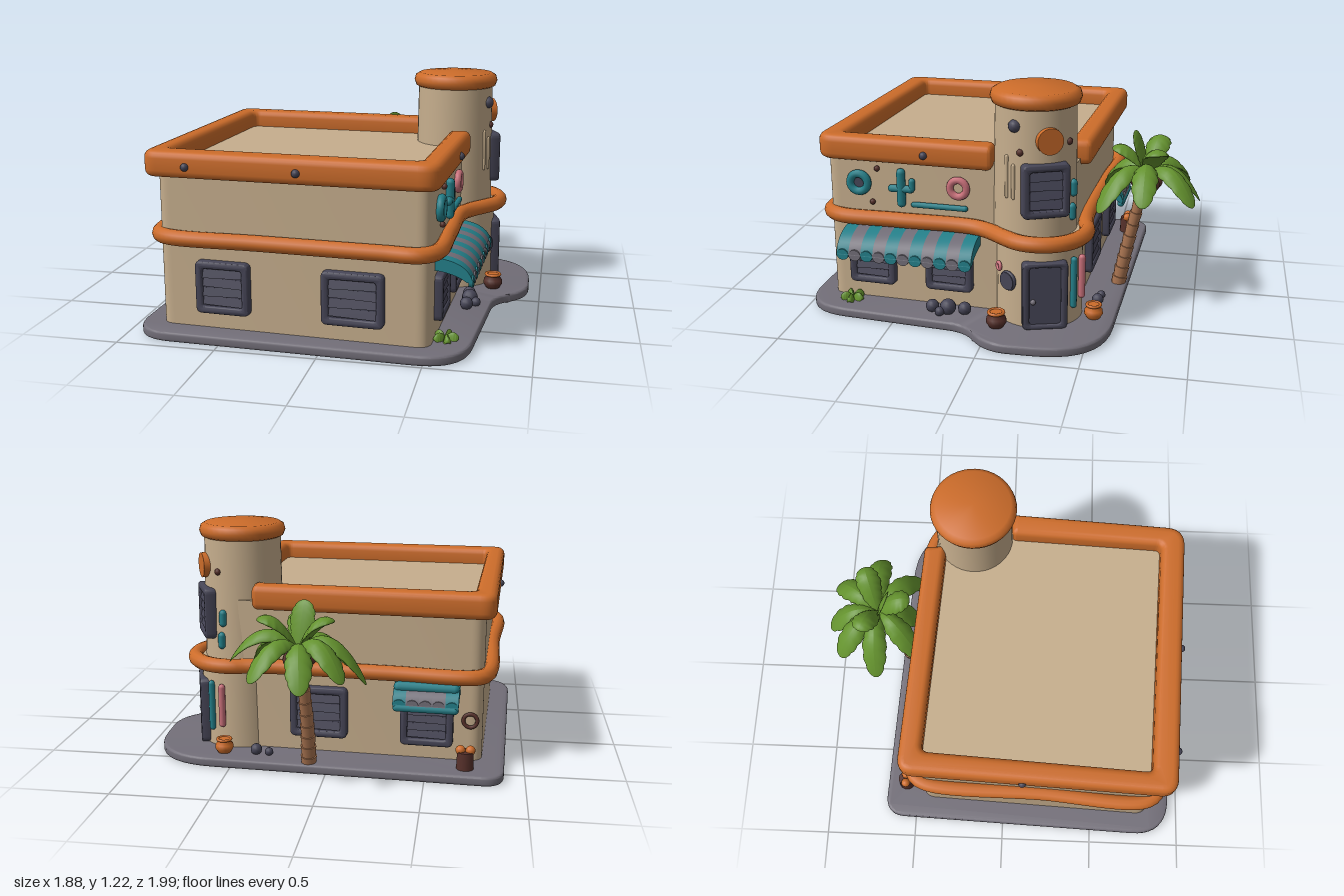
import * as THREE from 'three';
import { toCreasedNormals } from 'three/addons/utils/BufferGeometryUtils.js';

const paint = (name, color) => Object.assign(new THREE.MeshStandardMaterial({ color }), { name });
const M = {
  wall: paint('sand plaster', 0xc6ae8d), orange: paint('orange trim', 0xcc6c2a),
  stone: paint('grey stone', 0x726e78), slate: paint('dark slate', 0x464556),
  teal: paint('teal', 0x24808a), green: paint('leaf green', 0x64922e),
  trunk: paint('trunk brown', 0xac7652), brown: paint('dark brown', 0x56302a),
  pink: paint('faded pink', 0xc9707a),
};

function add(parent, name, geo, mat, x = 0, y = 0, z = 0) {
  const mesh = new THREE.Mesh(geo, mat);
  mesh.name = name;
  mesh.position.set(x, y, z);
  parent.add(mesh);
  return mesh;
}

// Closed polygon of [x, y, radius] corners, each rounded off
function roundedPoly(pts, Type = THREE.Shape) {
  const s = new Type();
  pts.forEach(([x, y, r], i) => {
    const c = new THREE.Vector2(x, y);
    const toward = (p) => new THREE.Vector2(p[0], p[1]).sub(c).setLength(r).add(c);
    const a = toward(pts[(i + pts.length - 1) % pts.length]);
    const b = toward(pts[(i + 1) % pts.length]);
    if (i) s.lineTo(a.x, a.y); else s.moveTo(a.x, a.y);
    s.quadraticCurveTo(x, y, b.x, b.y);
  });
  s.closePath();
  return s;
}
const rect = (w, h, r, Type) => roundedPoly([[-w / 2, -h / 2, r], [w / 2, -h / 2, r], [w / 2, h / 2, r], [-w / 2, h / 2, r]], Type);

function extrude(shape, depth, bevel = 0) {
  return toCreasedNormals(new THREE.ExtrudeGeometry(shape, {
    depth: depth - 2 * bevel, bevelEnabled: bevel > 0, bevelSize: bevel, bevelThickness: bevel,
    bevelOffset: -bevel, bevelSegments: 4, curveSegments: 10,
  }).translate(0, 0, bevel), 0.6);
}
// Ground-plan outline [x, z, radius] raised upward
const slab = (pts, h, bevel) => extrude(roundedPoly(pts.map(([x, z, r]) => [x, -z, r])), h, bevel).rotateX(-Math.PI / 2);

// Places on the slightly skewed walls: [x, z, facing angle]
const onFront = (x) => [x, 0.82 + (x + 0.83) * 0.052, -0.052];
const onRight = (z) => [0.52 + (0.89 - z) * 0.0465, z, Math.PI / 2 - 0.046];
const onBack = (x) => [x, -0.46 + (x + 0.78) * 0.044, Math.PI - 0.044];
const onTower = (a, low) => {
  const r = low ? 0.215 : 0.2, [cx, cz] = low ? [0.51, -0.225] : [0.5, -0.2];
  return [cx + r * Math.cos(a), cz - r * Math.sin(a), Math.PI / 2 + a];
};
function mount(root, name, [x, z, angle], y, out = 0) {
  const g = new THREE.Group();
  g.name = name;
  g.position.set(x + Math.sin(angle) * out, y, z + Math.cos(angle) * out);
  g.rotation.y = angle;
  root.add(g);
  return g;
}

function shutterWindow(root, name, spot, y, w, h, out = 0) {
  const g = mount(root, name, spot, y, out);
  const frame = rect(w, h, 0.03);
  frame.holes.push(rect(w - 0.075, h - 0.075, 0.015, THREE.Path));
  add(g, 'frame', extrude(frame, 0.065, 0.012), M.slate, 0, 0, -0.025);
  add(g, 'pane', new THREE.BoxGeometry(w - 0.05, h - 0.05, 0.07), M.slate, 0, 0, -0.016);
  for (let i = 0; i < 4; i++) {
    const slat = add(g, 'slat', new THREE.BoxGeometry(w - 0.06, (h - 0.08) / 4.3, 0.012), M.slate, 0, (i - 1.5) * (h - 0.08) / 4, 0.021);
    slat.rotation.x = -0.3;
    slat.rotation.z = (i % 2 - 0.5) * 0.05;
  }
}

function awning(root, name, spot, y, w, depth, drop, count, colours) {
  const g = mount(root, name, spot, y), sw = w / count;
  const profile = new THREE.Shape();
  profile.moveTo(-0.02, 0);
  profile.quadraticCurveTo(depth * 0.85, 0, depth, -drop);
  profile.lineTo(depth - 0.03, -drop);
  profile.quadraticCurveTo(depth * 0.5, -drop * 0.6, -0.02, -drop * 0.55);
  for (let i = 0; i < count; i++) {
    const mat = colours[i % colours.length], x = -w / 2 + i * sw;
    add(g, 'stripe', extrude(profile, sw).rotateY(-Math.PI / 2), mat, x + sw, 0, 0);
    const flap = add(g, 'scallop', new THREE.CylinderGeometry(sw / 2, sw / 2, 0.022, 14).rotateX(Math.PI / 2), mat, x + sw / 2, -drop, depth - 0.012);
    flap.scale.y = 0.9;
  }
  return g;
}

// Round pot with a coloured mouth
function pot(root, name, x, z, r, body, mouth) {
  const pts = [[0, 0], [0.7, 0], [1, 0.5], [0.95, 0.9], [0.65, 1.25], [0.8, 1.45]].map(([a, b]) => new THREE.Vector2(a * r, b * r));
  add(root, name, new THREE.LatheGeometry(pts, 18), body, x, 0.05, z);
  add(root, name + 'Mouth', new THREE.TorusGeometry(r * 0.72, r * 0.16, 8, 18).rotateX(Math.PI / 2), mouth, x, 0.05 + r * 1.45, z);
  add(root, name + 'Fill', new THREE.CylinderGeometry(r * 0.72, r * 0.66, 0.01, 18), mouth, x, 0.05 + r * 1.4, z);
}

function ring(root, name, spot, y, r, tube, mat) {
  add(mount(root, name, spot, y, 0.015), name, new THREE.TorusGeometry(r, tube, 10, 28), mat);
}
function rod(g, name, mat, r, len, x, y, z, turn = 0) {
  add(g, name, new THREE.CapsuleGeometry(r, len, 4, 10), mat, x, y, z).rotation.z = turn;
}

// Leaf: flattened ellipsoid, pinched along its rib and bent into an arc
function leafGeometry(len, width, rise, fall) {
  const geo = new THREE.SphereGeometry(1, 20, 24).rotateZ(-Math.PI / 2), p = geo.attributes.position;
  for (let i = 0; i < p.count; i++) {
    const t = (p.getX(i) + 1) / 2, side = p.getZ(i);
    const notch = Math.floor(t * 24) % 4 === 0 ? 0.9 : 1;
    p.setXYZ(i, t * len, p.getY(i) * 0.02 + rise * t - fall * t * t - side * side * 0.03, side * width * notch * (0.6 + 0.5 * t));
  }
  geo.computeVertexNormals();
  return geo;
}

function palm(root) {
  const g = new THREE.Group();
  g.name = 'palmTree';
  root.add(g);
  const curve = new THREE.QuadraticBezierCurve3(new THREE.Vector3(0.09, 0.03, -0.585), new THREE.Vector3(0.08, 0.3, -0.63), new THREE.Vector3(0.11, 0.68, -0.72));
  const n = 10, up = new THREE.Vector3(0, 1, 0);
  for (let i = 0; i < n; i++) {
    const a = curve.getPoint(i / n), b = curve.getPoint((i + 1) / n), r = 0.042 - 0.0014 * i;
    const seg = add(g, 'trunkSegment', new THREE.CylinderGeometry(r, r * 0.85, a.distanceTo(b) + 0.008, 12), M.trunk);
    seg.position.copy(a).lerp(b, 0.5);
    seg.quaternion.setFromUnitVectors(up, b.sub(a).normalize());
  }
  // [heading in degrees from +x toward -z, length, rise, fall]
  const leaves = [[0, 0.34, 0.38, 0.45], [52, 0.31, 0.3, 0.4], [100, 0.28, 0.24, 0.38], [140, 0.31, 0.32, 0.42],
    [180, 0.33, 0.34, 0.5], [228, 0.31, 0.3, 0.44], [275, 0.23, 0.16, 0.34], [318, 0.34, 0.32, 0.46],
    [20, 0.2, 0.4, 0.24], [160, 0.19, 0.4, 0.24], [275, 0.19, 0.36, 0.22], [255, 0.08, 0.34, 0.11]];
  for (const [deg, len, rise, fall] of leaves)
    add(g, 'leaf', leafGeometry(len, 0.076, rise, fall), M.green, 0.11, 0.68, -0.725).rotation.y = deg * Math.PI / 180;
  for (let i = 0; i < 5; i++)
    add(g, 'coconut', new THREE.SphereGeometry(0.037, 12, 10), M.brown, 0.11 + 0.05 * Math.cos(i * 1.257 + 0.5), 0.64, -0.72 + 0.05 * Math.sin(i * 1.257 + 0.5));
}

export function createModel() {
  const root = new THREE.Group();
  root.name = 'cornerShop';

  // Pavement, walls and roof
  add(root, 'pavement', slab([[-0.89, -0.675, 0.11], [0.93, -0.6, 0.34], [0.94, -0.02, 0.13], [0.765, 0.1, 0.1], [0.69, 1, 0.24], [-0.95, 0.94, 0.2]], 0.05, 0.014), M.stone);
  add(root, 'walls', slab([[-0.78, -0.46, 0.07], [0.58, -0.4, 0.1], [0.52, 0.89, 0.07], [-0.835, 0.82, 0.07]], 0.8), M.wall, 0, 0.04, 0);
  add(root, 'roofRim', slab([[0.61, 0, 0.03], [0.56, 0.935, 0.1], [-0.89, 0.87, 0.08], [-0.83, -0.53, 0.08], [0.4, -0.465, 0.03],
    [0.41, -0.35, 0.03], [-0.72, -0.41, 0.04], [-0.78, 0.745, 0.03], [0.455, 0.805, 0.03], [0.49, 0, 0.03]], 0.13, 0.035), M.orange, 0, 0.802, 0);

  // Tower
  add(root, 'towerBase', new THREE.CylinderGeometry(0.215, 0.22, 0.47, 40), M.wall, 0.51, 0.275, -0.225);
  add(root, 'tower', new THREE.CylinderGeometry(0.2, 0.21, 0.67, 40), M.wall, 0.5, 0.82, -0.2);
  const cap = [[0, 0], [0.19, 0], [0.215, 0.012], [0.225, 0.04], [0.218, 0.066], [0.195, 0.08], [0, 0.084]].map(([a, b]) => new THREE.Vector2(a, b));
  add(root, 'towerCap', toCreasedNormals(new THREE.LatheGeometry(cap, 40), 0.9), M.orange, 0.5, 1.138, -0.2);

  // Band around the walls and the tower
  const bandPts = [[0.585, 0.08], [0.56, 0.5], [0.54, 0.82], [0.47, 0.895], [0.3, 0.89], [-0.3, 0.86], [-0.77, 0.835], [-0.845, 0.77],
    [-0.825, 0.2], [-0.795, -0.42], [-0.74, -0.485], [-0.3, -0.465], [0.3, -0.435]];
  for (let i = 0; i <= 10; i++) {
    const a = 1.95 - i * 0.27;
    bandPts.push([0.53 + 0.225 * Math.cos(a), -0.24 - 0.225 * Math.sin(a)]);
  }
  const bandCurve = new THREE.CatmullRomCurve3(bandPts.map(([x, z]) => new THREE.Vector3(x, 0.502, z)), true);
  add(root, 'wallBand', new THREE.TubeGeometry(bandCurve, 200, 0.04, 12, true), M.orange);

  // Windows and door
  for (const [x, w] of [[-0.495, 0.275], [0.155, 0.305]]) shutterWindow(root, 'frontWindow', onFront(x), 0.265, w, 0.265);
  for (const z of [0.65, 0.235]) shutterWindow(root, 'sideWindow', onRight(z), 0.255, 0.25, 0.23);
  shutterWindow(root, 'backWindow', onBack(-0.5), 0.245, 0.27, 0.24);
  shutterWindow(root, 'backWindow', onBack(0.06), 0.27, 0.3, 0.27);
  shutterWindow(root, 'towerWindow', onTower(0.42), 0.755, 0.235, 0.27, -0.012);
  const door = mount(root, 'door', onTower(0.3, true), 0.225, -0.012);
  add(door, 'doorLeaf', new THREE.BoxGeometry(0.19, 0.33, 0.08), M.slate, 0, 0, -0.019);
  const doorFrame = rect(0.225, 0.355, 0.03);
  doorFrame.holes.push(rect(0.155, 0.3, 0.015, THREE.Path));
  add(door, 'doorFrame', extrude(doorFrame, 0.08, 0.01), M.slate, 0, 0, -0.048);
  add(door, 'doorKnob', new THREE.SphereGeometry(0.014, 10, 8), M.stone, -0.06, -0.03, 0.024);

  // Awnings
  awning(root, 'sideAwning', onRight(0.425), 0.46, 0.71, 0.182, 0.11, 11, [M.teal, M.stone]);
  const canopy = awning(root, 'backAwning', onBack(-0.5), 0.455, 0.33, 0.12, 0.09, 5, [M.teal, M.stone, M.stone, M.stone, M.teal]);
  rod(canopy, 'topRoll', M.teal, 0.027, 0.28, 0, -0.01, 0.055, Math.PI / 2);
  rod(canopy, 'lowerRoll', M.teal, 0.021, 0.29, 0, -0.105, 0.105, Math.PI / 2);

  // Ornaments on the side wall
  ring(root, 'tealRing', onRight(0.71), 0.685, 0.047, 0.021, M.teal);
  add(mount(root, 'ringCentre', onRight(0.71), 0.685), 'disc', new THREE.CylinderGeometry(0.04, 0.04, 0.03, 20).rotateX(Math.PI / 2), M.slate);
  ring(root, 'pinkRing', onRight(0.18), 0.695, 0.043, 0.019, M.pink);
  const cross = mount(root, 'tealCactus', onRight(0.48), 0.675, 0.018);
  rod(cross, 'stem', M.teal, 0.023, 0.16, 0, 0, 0);
  rod(cross, 'arms', M.teal, 0.02, 0.1, 0, -0.005, 0, Math.PI / 2);
  rod(cross, 'armTip', M.teal, 0.017, 0.035, 0.058, 0.02, 0);
  rod(mount(root, 'tealRail', onRight(0.28), 0.59, 0.015), 'rail', M.teal, 0.015, 0.27, 0, 0, 0, Math.PI / 2);
  for (const [z, y] of [[0.61, 0.765], [0.64, 0.585]]) add(mount(root, 'peg', onRight(z), y, 0.01), 'peg', new THREE.SphereGeometry(0.015, 10, 8), M.brown);

  // Ornaments on the tower
  add(mount(root, 'towerDisc', onTower(0.5), 1), 'disc', new THREE.CylinderGeometry(0.065, 0.065, 0.05, 28).rotateX(Math.PI / 2), M.orange);
  add(mount(root, 'towerKnob', onTower(-0.36), 1.065, -0.005), 'knob', new THREE.SphereGeometry(0.032, 14, 10), M.slate);
  const rods = mount(root, 'towerRods', onTower(-0.47), 0.81, 0.003);
  rod(rods, 'rod', M.wall, 0.01, 0.2, -0.02, 0, 0);
  rod(rods, 'rod', M.wall, 0.01, 0.16, 0.02, -0.02, 0);
  for (const [a, y] of [[-0.2, 0.94], [1.1, 0.98]]) add(mount(root, 'towerStud', onTower(a), y), 'stud', new THREE.SphereGeometry(0.018, 10, 8), M.brown);
  for (const [a, y] of [[1.2, 0.62], [1.25, 0.74]]) rod(mount(root, 'tealBracket', onTower(a), y, 0.01), 'bracket', M.teal, 0.02, 0.05, 0, 0, 0);
  const sign = mount(root, 'hangingDisc', onTower(-0.58, true), 0.28, 0.012);
  add(sign, 'disc', new THREE.CylinderGeometry(0.045, 0.045, 0.025, 20).rotateX(Math.PI / 2), M.slate);
  add(sign, 'rim', new THREE.TorusGeometry(0.042, 0.01, 8, 20), M.slate);
  ring(root, 'pinkHook', onTower(-0.9, true), 0.335, 0.018, 0.009, M.pink);
  rod(mount(root, 'tealPipe', onTower(1.0, true), 0.27, 0.015), 'pipe', M.teal, 0.017, 0.24, 0, 0, 0);
  rod(mount(root, 'pinkPipe', onTower(1.3, true), 0.28, 0.018), 'pipe', M.pink, 0.018, 0.2, 0, 0, 0);
  ring(root, 'backHook', onBack(-0.72), 0.27, 0.035, 0.01, M.brown);

  // Knobs on the roof rim
  const knobs = [[-0.66, 0.88], [-0.11, 0.907], [0.592, 0.35], [-0.855, 0.1]];
  for (const [x, z] of knobs) add(root, 'rimKnob', new THREE.SphereGeometry(0.02, 12, 10), M.slate, x, 0.862, z);

  // Things standing on the pavement
  pot(root, 'brownPot', 0.745, -0.05, 0.052, M.brown, M.orange);
  pot(root, 'orangePot', 0.55, -0.51, 0.048, M.orange, M.orange);
  add(root, 'stump', new THREE.CylinderGeometry(0.042, 0.045, 0.09, 14), M.brown, -0.7, 0.095, -0.56);
  for (const dx of [-0.025, 0.025]) add(root, 'stumpKnob', new THREE.SphereGeometry(0.025, 12, 10), M.orange, -0.7 + dx, 0.145, -0.56);
  for (const [x, z, r] of [[0.635, 0.31, 0.034], [0.645, 0.225, 0.042], [0.635, 0.14, 0.034], [0.68, 0.26, 0.025], [0.38, -0.51, 0.03], [0.31, -0.52, 0.022]])
    add(root, 'rock', new THREE.SphereGeometry(r, 12, 9), M.slate, x, 0.05 + r * 0.75, z);
  for (let i = 0; i < 5; i++)
    add(root, 'grassBlade', leafGeometry(0.065, 0.022, 0.06, 0.05), M.green, 0.58, 0.052, 0.76).rotation.y = i * 1.257;
  palm(root);
  return root;
}
